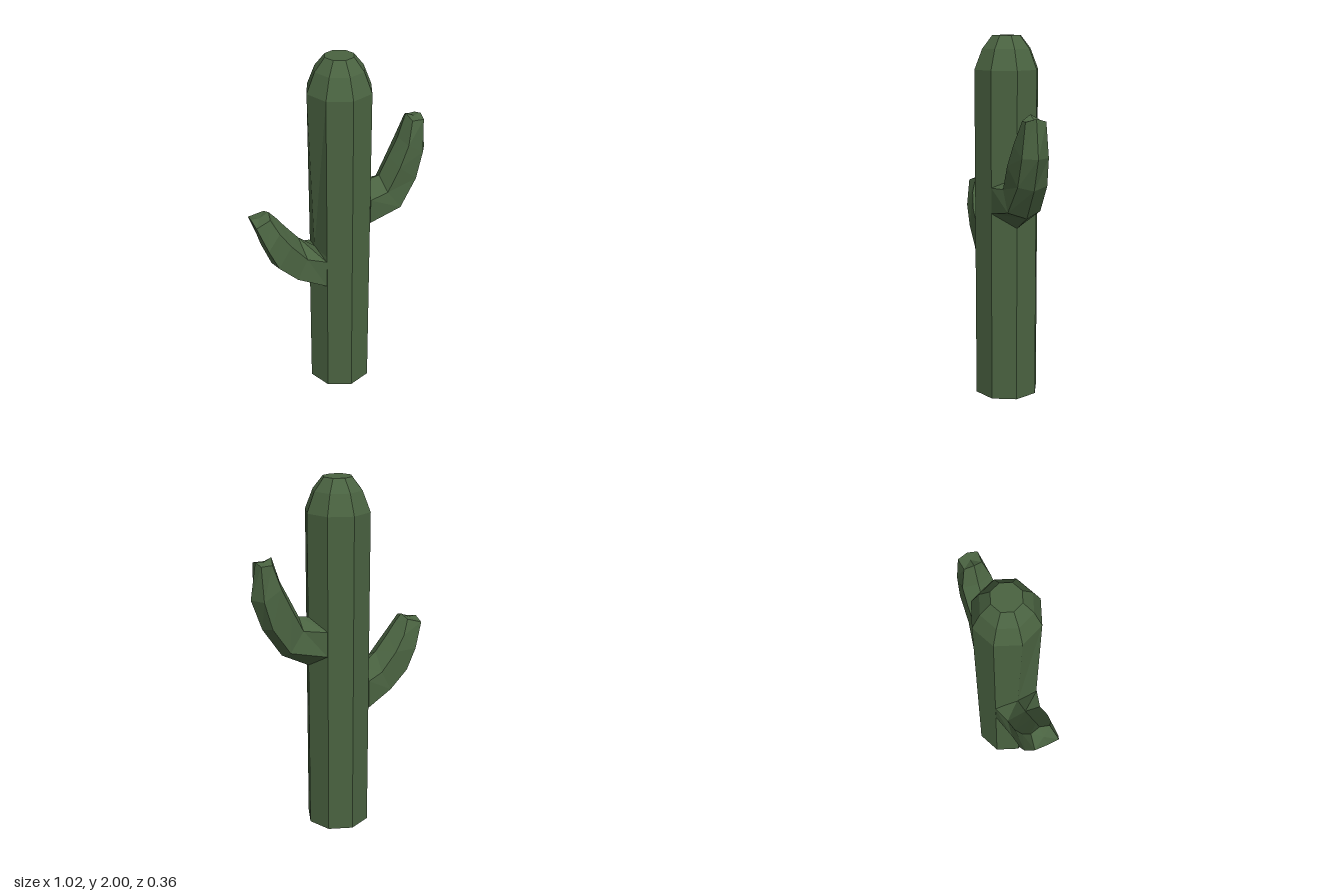
import * as THREE from 'three';

// Joins rings of points into a closed faceted skin; rings run counter-clockwise seen from the last one.
function loft(rings) {
  const pos = [];
  const tri = (...pts) => pts.forEach((p) => pos.push(p.x, p.y, p.z));
  const n = rings[0].length;
  for (let i = 0; i < rings.length - 1; i++) {
    for (let j = 0; j < n; j++) {
      const k = (j + 1) % n;
      const a = rings[i][j], b = rings[i][k], c = rings[i + 1][k], d = rings[i + 1][j];
      tri(a, b, c);
      tri(a, c, d);
    }
  }
  // End caps fan out from each end ring's centre
  const cap = (ring, flip) => {
    const mid = new THREE.Vector3();
    ring.forEach((p) => mid.addScaledVector(p, 1 / n));
    ring.forEach((p, j) => {
      const q = ring[(j + 1) % n];
      flip ? tri(mid, q, p) : tri(mid, p, q);
    });
  };
  cap(rings[0], true);
  cap(rings[rings.length - 1], false);
  const geo = new THREE.BufferGeometry();
  geo.setAttribute('position', new THREE.Float32BufferAttribute(pos, 3));
  geo.computeVertexNormals();
  return geo;
}

// Eight-sided trunk ring; notch is the radius of the corner on the -x side
function trunkRing(y, r, notch = r) {
  return Array.from({ length: 8 }, (_, i) => {
    const a = (i * Math.PI) / 4;
    const rad = i === 6 ? notch : r;
    return new THREE.Vector3(Math.sin(a) * rad, y, Math.cos(a) * rad);
  });
}

// Six-sided arm ring: a ridge on top, a keel below and two corners on each side
function armRing({ ridge, upper, lower, keel }) {
  const [ux, uy, uf, ub = uf] = upper;
  const [lx, ly, lf, lb = lf] = lower;
  const ring = [
    [...keel, 0], [lx, ly, lf], [ux, uy, uf],
    [...ridge, 0], [ux, uy, -ub], [lx, ly, -lb],
  ].map((p) => new THREE.Vector3(...p));
  return keel[0] > 0 ? ring.reverse() : ring;
}

export function createModel() {
  const group = new THREE.Group();
  group.name = 'cactus';
  const green = new THREE.MeshStandardMaterial({ color: 0x4a6341 });
  green.name = 'cactus green';
  green.flatShading = true;

  const add = (name, rings) => {
    const mesh = new THREE.Mesh(loft(rings), green);
    mesh.name = name;
    group.add(mesh);
  };

  // Trunk with a rounded crown
  add('trunk', [
    trunkRing(0, 0.18),
    trunkRing(0.71, 0.18),
    trunkRing(0.9, 0.18, 0.15),
    trunkRing(1.82, 0.18),
    trunkRing(1.93, 0.136),
    trunkRing(2, 0.08),
  ]);

  // Higher arm; side corners are [x, y, front z, back z]
  add('leftArm', [
    { ridge: [0.16, 1.255], upper: [0.13, 1.2, 0.128], lower: [0.13, 1.06, 0.128], keel: [0.18, 0.98] },
    { ridge: [0.237, 1.27], upper: [0.245, 1.21, 0.1, 0.075], lower: [0.325, 1.1, 0.1, 0.08], keel: [0.34, 1.065] },
    { ridge: [0.29, 1.375], upper: [0.315, 1.345, 0.1, 0.08], lower: [0.425, 1.25, 0.08], keel: [0.45, 1.23] },
    { ridge: [0.344, 1.48], upper: [0.37, 1.46, 0.085, 0.08], lower: [0.465, 1.4, 0.072], keel: [0.51, 1.4] },
    { ridge: [0.388, 1.615], upper: [0.405, 1.585, 0.05], lower: [0.47, 1.585, 0.055], keel: [0.478, 1.6] },
  ].map(armRing));

  // Lower arm
  add('rightArm', [
    { ridge: [-0.145, 0.905], upper: [-0.13, 0.87, 0.128], lower: [-0.13, 0.71, 0.128], keel: [-0.18, 0.705] },
    { ridge: [-0.245, 0.985], upper: [-0.23, 0.895, 0.1], lower: [-0.29, 0.78, 0.1], keel: [-0.3, 0.76] },
    { ridge: [-0.32, 1.075], upper: [-0.32, 1.0, 0.1], lower: [-0.395, 0.88, 0.1], keel: [-0.405, 0.86] },
    { ridge: [-0.37, 1.14], upper: [-0.38, 1.085, 0.085], lower: [-0.45, 1.0, 0.1], keel: [-0.463, 1.0] },
    { ridge: [-0.41, 1.185], upper: [-0.42, 1.165, 0.055], lower: [-0.503, 1.14, 0.07], keel: [-0.51, 1.16] },
  ].map(armRing));

  return group;
}
